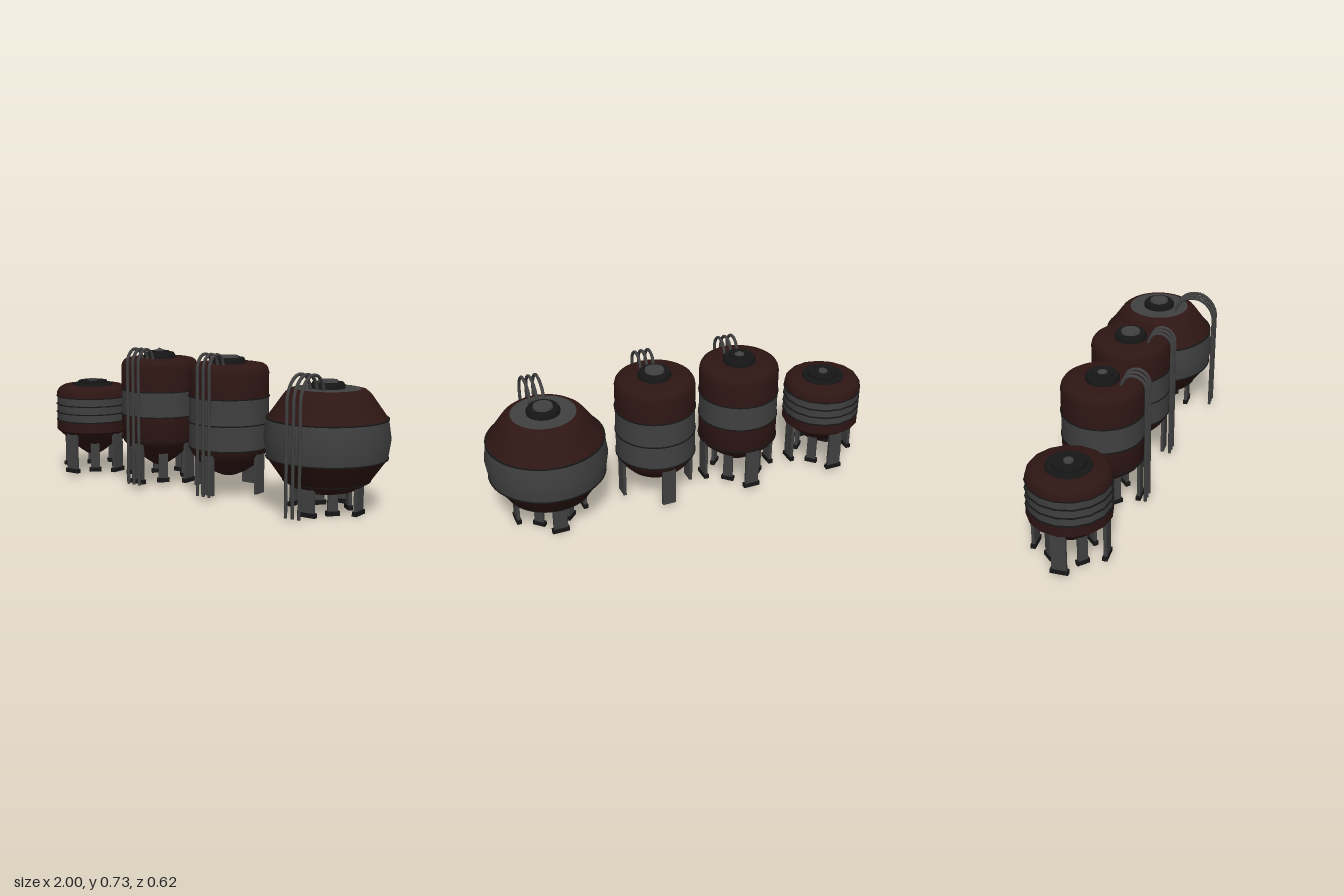
import * as THREE from 'three';
import { toCreasedNormals } from 'three/addons/utils/BufferGeometryUtils.js';

const material = (color) => new THREE.MeshStandardMaterial({ color, side: THREE.DoubleSide });
const RED = material(0x2e1614);
const GREY = material(0x404040);
const BLACK = material(0x161616);

function add(parent, name, geometry, mat) {
  const mesh = new THREE.Mesh(geometry, mat);
  mesh.name = name;
  parent.add(mesh);
  return mesh;
}

// Turned part from [radius, height] pairs, listed bottom to top
function turned(parent, name, points, mat, sides = 48) {
  const profile = points.map(([r, y]) => new THREE.Vector2(r, y));
  return add(parent, name, toCreasedNormals(new THREE.LatheGeometry(profile, sides), 0.6), mat);
}

// Thin raised seam around a tank
function seam(parent, r, y, sides = 48) {
  const h = 0.005;
  turned(parent, 'seam', [[r - 0.01, y - h], [r + 0.004, y - h / 2], [r + 0.004, y + h / 2], [r - 0.01, y + h]], BLACK, sides);
}

// Stepped hatch on the tank top
function hatch(parent, y, r, knobR, knobH, pointed, sides = 48) {
  turned(parent, 'hatchBase', [[r, y - 0.005], [r, y + 0.014], [r - 0.008, y + 0.028], [0, y + 0.028]], BLACK, sides);
  if (pointed) {
    turned(parent, 'hatchLid', [[0.052, y + 0.026], [0.05, y + 0.036], [0, y + 0.036]], BLACK, sides);
    turned(parent, 'hatchKnob', [[knobR, y + 0.034], [knobR, y + 0.038], [0, y + knobH]], GREY, sides);
  } else {
    turned(parent, 'hatchLid', [[knobR, y + 0.026], [knobR - 0.004, y + knobH], [0, y + knobH]], GREY, sides);
  }
}

// Flat legs in a ring; the diagonal ones are narrower and stand further in
function legs(parent, { count, r, innerR, base, top, innerTop, feet }) {
  for (let i = 0; i < count; i++) {
    const angle = (i / count) * Math.PI * 2;
    const inner = count === 8 && i % 2 === 1;
    const width = inner ? 0.048 : 0.07;
    const height = (inner ? innerTop : top) - base;
    const leg = new THREE.Group();
    leg.name = 'leg';
    leg.rotation.y = angle;
    const post = add(leg, 'legPost', new THREE.BoxGeometry(width, height, 0.016), GREY);
    post.position.set(0, base + height / 2, inner ? innerR : r);
    if (feet) {
      const foot = add(leg, 'foot', new THREE.BoxGeometry(width + 0.016, 0.022, 0.024), BLACK);
      foot.position.set(0, base + 0.011, inner ? innerR : r);
    }
    parent.add(leg);
  }
}

// Three pipes arching from the hatch down the front of the tank
function pipes(parent, { startZ, endZ, topY, peakY, bottomY }) {
  const mid = (startZ + endZ) / 2;
  const half = (endZ - startZ) / 2;
  const shoulder = peakY - half * 1.1;
  for (const x of [-0.035, 0, 0.035]) {
    const path = new THREE.CurvePath();
    const v = (y, z) => new THREE.Vector3(x, y, z);
    path.add(new THREE.CubicBezierCurve3(v(topY - 0.01, startZ), v(topY + (peakY - topY) * 0.55, startZ + half * 0.1),
      v(peakY, mid - half * 0.6), v(peakY, mid)));
    path.add(new THREE.CubicBezierCurve3(v(peakY, mid), v(peakY, mid + half * 0.56),
      v(shoulder + half * 0.5, endZ), v(shoulder, endZ)));
    path.add(new THREE.LineCurve3(v(shoulder, endZ), v(bottomY, endZ)));
    add(parent, 'pipe', new THREE.TubeGeometry(path, 60, 0.008, 8), GREY);
    const end = add(parent, 'pipeEnd', new THREE.CircleGeometry(0.008, 8), GREY);
    end.rotation.x = Math.PI / 2;
    end.position.set(x, bottomY, endZ);
  }
}

function tank(parent, name, x, z) {
  const group = new THREE.Group();
  group.name = name;
  group.position.set(x, 0, z);
  parent.add(group);
  return group;
}

// Rounded upper shell shared by the tall tanks
const tallTop = [[0.2, 0.505], [0.2, 0.625], [0.196, 0.642], [0.187, 0.656], [0.175, 0.664], [0.16, 0.667], [0, 0.667]];

export function createModel() {
  const model = new THREE.Group();
  model.name = 'storageTanks';

  // Short tank with conical base
  const short = tank(model, 'shortTank', -0.797, -0.05);
  turned(short, 'lowerShell', [[0, 0.1], [0.035, 0.105], [0.075, 0.132], [0.2, 0.245], [0.2, 0.3]], RED, 16);
  turned(short, 'bands', [[0.197, 0.3], [0.197, 0.43]], GREY, 16);
  turned(short, 'upperShell', [[0.2, 0.43], [0.197, 0.455], [0.185, 0.475], [0.16, 0.488], [0, 0.488]], RED, 16);
  for (const y of [0.3, 0.343, 0.387, 0.43]) seam(short, 0.198, y, 16);
  turned(short, 'lidStep', [[0.11, 0.485], [0.105, 0.498], [0, 0.498]], BLACK, 16);
  turned(short, 'lidCap', [[0.08, 0.495], [0.078, 0.512], [0, 0.512]], BLACK, 16);
  turned(short, 'lidKnob', [[0.025, 0.51], [0.022, 0.521], [0, 0.523]], GREY, 16);
  legs(short, { count: 8, r: 0.173, innerR: 0.113, base: 0.02, top: 0.24, innerTop: 0.19, feet: true });

  // Tall tank with conical base
  const coneTank = tank(model, 'tallConeTank', -0.315, -0.035);
  turned(coneTank, 'lowerShell', [[0, 0.1], [0.035, 0.104], [0.08, 0.135], [0.187, 0.225], [0.2, 0.25], [0.2, 0.375]], RED);
  turned(coneTank, 'band', [[0.2, 0.375], [0.2, 0.505]], GREY);
  turned(coneTank, 'upperShell', tallTop, RED);
  for (const y of [0.25, 0.375, 0.505]) seam(coneTank, 0.2, y);
  hatch(coneTank, 0.667, 0.082, 0.024, 0.052, true);
  legs(coneTank, { count: 8, r: 0.187, innerR: 0.122, base: 0.027, top: 0.235, innerTop: 0.19, feet: true });
  pipes(coneTank, { startZ: 0.1, endZ: 0.222, topY: 0.667, peakY: 0.722, bottomY: 0.027 });

  // Tall tank with round base
  const roundTank = tank(model, 'tallRoundTank', 0.135, -0.02);
  turned(roundTank, 'lowerShell', [[0, 0.1], [0.04, 0.105], [0.09, 0.127], [0.14, 0.162], [0.175, 0.2], [0.194, 0.23], [0.2, 0.25]], RED);
  turned(roundTank, 'bands', [[0.2, 0.25], [0.2, 0.505]], GREY);
  turned(roundTank, 'upperShell', tallTop, RED);
  for (const y of [0.25, 0.375, 0.505]) seam(roundTank, 0.2, y);
  hatch(roundTank, 0.667, 0.082, 0.05, 0.038, false);
  legs(roundTank, { count: 4, r: 0.182, base: 0.027, top: 0.24, feet: false });
  pipes(roundTank, { startZ: 0.1, endZ: 0.222, topY: 0.667, peakY: 0.722, bottomY: 0.027 });

  // Large bulging tank
  const bulge = tank(model, 'bulgingTank', 0.7, -0.01);
  turned(bulge, 'lowerShell', [[0, 0.095], [0.1, 0.095], [0.135, 0.105], [0.175, 0.125], [0.208, 0.15], [0.286, 0.26]], RED);
  turned(bulge, 'band', [[0.286, 0.26], [0.3, 0.353], [0.286, 0.445]], GREY);
  turned(bulge, 'upperShell', [[0.286, 0.445], [0.215, 0.545], [0.2, 0.565], [0.18, 0.58], [0.157, 0.585]], RED);
  turned(bulge, 'topPlate', [[0.158, 0.585], [0, 0.586]], GREY);
  for (const y of [0.26, 0.445]) seam(bulge, 0.286, y);
  seam(bulge, 0.206, 0.15);
  hatch(bulge, 0.585, 0.082, 0.05, 0.039, false);
  legs(bulge, { count: 8, r: 0.173, innerR: 0.113, base: 0, top: 0.14, innerTop: 0.115, feet: true });
  pipes(bulge, { startZ: 0.1, endZ: 0.312, topY: 0.585, peakY: 0.666, bottomY: 0.02 });

  return model;
}
